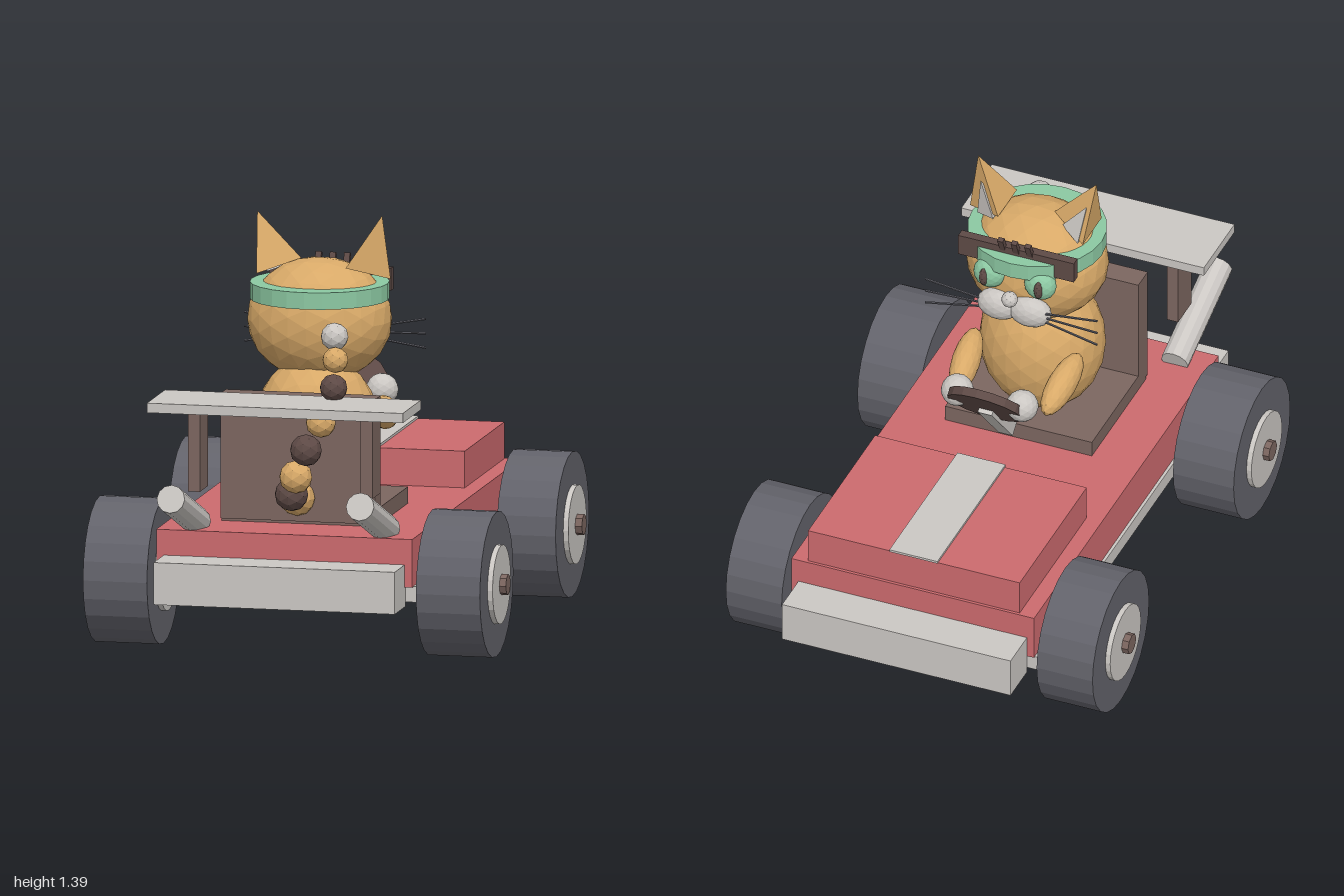
import * as THREE from 'three';

const mat = (name, color) => {
  const m = new THREE.MeshStandardMaterial({ color, flatShading: true });
  m.name = name;
  return m;
};

export function createModel() {
  const red = mat('red paint', 0xcc6a6e);
  const grey = mat('pale grey', 0xcbc7c3);
  const tyre = mat('tyre grey', 0x62626a);
  const brown = mat('brown', 0x7c6660);
  const dark = mat('dark brown', 0x5e4a46);
  const fur = mat('tan fur', 0xd8a968);
  const green = mat('green', 0x8cc8a2);

  const model = new THREE.Group();
  model.name = 'catInKart';

  const add = (name, geometry, material, x, y, z, rx = 0, ry = 0, rz = 0) => {
    const mesh = new THREE.Mesh(geometry, material);
    mesh.name = name;
    mesh.position.set(x, y, z);
    mesh.rotation.set(rx, ry, rz);
    model.add(mesh);
    return mesh;
  };
  // box given by its limits on each axis
  const box = (name, m, x0, x1, y0, y1, z0, z1) =>
    add(name, new THREE.BoxGeometry(x1 - x0, y1 - y0, z1 - z0), m,
      (x0 + x1) / 2, (y0 + y1) / 2, (z0 + z1) / 2);
  const cyl = (r, h, n) => new THREE.CylinderGeometry(r, r, h, n);
  const ball = (name, m, x, y, z, rx, ry = rx, rz = rx, detail = 2) => {
    const mesh = add(name, new THREE.IcosahedronGeometry(1, detail), m, x, y, z);
    mesh.scale.set(rx, ry, rz);
    return mesh;
  };

  // kart body, nose towards -z
  box('chassis', grey, -0.44, 0.44, 0.21, 0.262, -0.855, 0.7);
  box('kartBody', red, -0.43, 0.43, 0.26, 0.42, -0.86, 0.71);
  box('hood', red, -0.375, 0.375, 0.42, 0.542, -0.85, -0.28);
  box('hoodStripe', grey, -0.085, 0.085, 0.542, 0.55, -0.855, -0.275);
  box('frontBumper', grey, -0.405, 0.405, 0.195, 0.335, -1, -0.86);
  box('rearBumper', grey, -0.405, 0.405, 0.195, 0.335, 0.7, 0.855);

  // seat and rear wing
  box('seatBase', brown, -0.26, 0.26, 0.42, 0.475, 0.04, 0.5);
  box('seatBack', brown, -0.26, 0.26, 0.43, 0.845, 0.435, 0.515);
  box('rearWing', grey, -0.43, 0.43, 0.83, 0.862, 0.585, 0.845);

  // wheels and axles
  for (const [label, z, outer, axle] of [['front', -0.65, 0.65, 0.69], ['rear', 0.51, 0.667, 0.706]]) {
    add(label + 'Axle', cyl(0.035, axle * 2, 8), brown, 0, 0.247, z, 0, 0, Math.PI / 2);
    for (const s of [-1, 1]) {
      const mid = s * (outer + 0.452) / 2;
      add(label + 'Tyre', cyl(0.241, outer - 0.452, 24), tyre, mid, 0.247, z, 0, 0, Math.PI / 2);
      add(label + 'Hub', cyl(0.131, outer - 0.452 + 0.034, 24), grey, mid, 0.247, z, 0, 0, Math.PI / 2);
    }
  }

  // steering column and wheel
  add('steeringColumn', new THREE.BoxGeometry(0.05, 0.27, 0.05), grey, 0, 0.628, -0.14, -0.72);
  add('steeringWheel', cyl(0.13, 0.03, 16), dark, 0, 0.745, -0.235, Math.PI / 2 - 0.7);

  // cat body and head
  ball('catBody', fur, 0, 0.69, 0.245, 0.21, 0.25, 0.195, 3);
  ball('head', fur, 0, 1.05, 0.2, 0.24, 0.205, 0.203, 3);
  add('headband', cyl(0.229, 0.056, 24), green, 0, 1.147, 0.2);
  box('browBar', dark, -0.205, 0.205, 1.125, 1.2, 0.018, 0.05);
  for (const x of [-0.048, 0, 0.048])
    add('foreheadStripe', new THREE.BoxGeometry(0.02, 0.09, 0.016), dark, x, 1.195, 0.022, -0.4);
  ball('nose', grey, 0, 1.035, -0.036, 0.028, 0.028, 0.028, 1);

  for (const s of [-1, 1]) {
    box('wingSupport', brown, s * 0.29 - 0.02, s * 0.29 + 0.02, 0.56, 0.83, 0.654, 0.767);
    add('exhaustPipe', cyl(0.047, 0.4, 12), grey, s * 0.318, 0.502, 0.793, Math.PI / 2 - 0.35);

    // arms and paws
    ball('arm', fur, s * 0.17, 0.712, 0.002, 0.047, 0.052, 0.128).rotation.set(-0.36, s * 0.1, 0);
    ball('paw', grey, s * 0.115, 0.75, -0.205, 0.054);

    // three-sided ears, both with the same base orientation
    add('ear', new THREE.ConeGeometry(0.093, 0.19, 3).translate(0, 0.095, 0).rotateY(Math.PI / 2),
      fur, s * 0.15, 1.22, 0.2, 0, 0, -s * 0.32);
    add('innerEar', new THREE.ConeGeometry(0.052, 0.12, 3).translate(0, 0.06, 0).rotateY(Math.PI / 2),
      grey, s * 0.15, 1.21, 0.168, 0, 0, -s * 0.32);

    // face
    ball('eye', green, s * 0.09, 1.09, 0.01, 0.055, 0.055, 0.042);
    ball('pupil', dark, s * 0.097, 1.09, -0.022, 0.016, 0.034, 0.018, 1);
    ball('muzzle', grey, s * 0.055, 0.975, 0.005, 0.075, 0.056, 0.046);
    for (const k of [-1, 0, 1]) {
      const a = new THREE.Vector3(s * 0.09, 0.975 + k * 0.012, -0.01);
      const b = new THREE.Vector3(s * 0.305, 0.975 + k * 0.048, -0.022);
      const whisker = add('whisker', cyl(0.004, a.distanceTo(b), 5), tyre, 0, 0, 0);
      whisker.position.lerpVectors(a, b, 0.5);
      whisker.quaternion.setFromUnitVectors(new THREE.Vector3(0, 1, 0), b.sub(a).normalize());
    }
  }

  // ringed tail: x, y, z, radius
  const tail = [
    [0, 0.51, 0.525, 0.06], [0, 0.535, 0.605, 0.056], [0.03, 0.605, 0.672, 0.055],
    [0.07, 0.7, 0.697, 0.053], [0.115, 0.79, 0.675, 0.05], [0.145, 0.897, 0.62, 0.046],
    [0.138, 0.98, 0.565, 0.043], [0.125, 1.05, 0.52, 0.046],
  ];
  tail.forEach(([x, y, z, r], i) =>
    ball('tailSegment', i === tail.length - 1 ? grey : i % 2 ? dark : fur, x, y, z, r, r, r, 1));

  return model;
}
